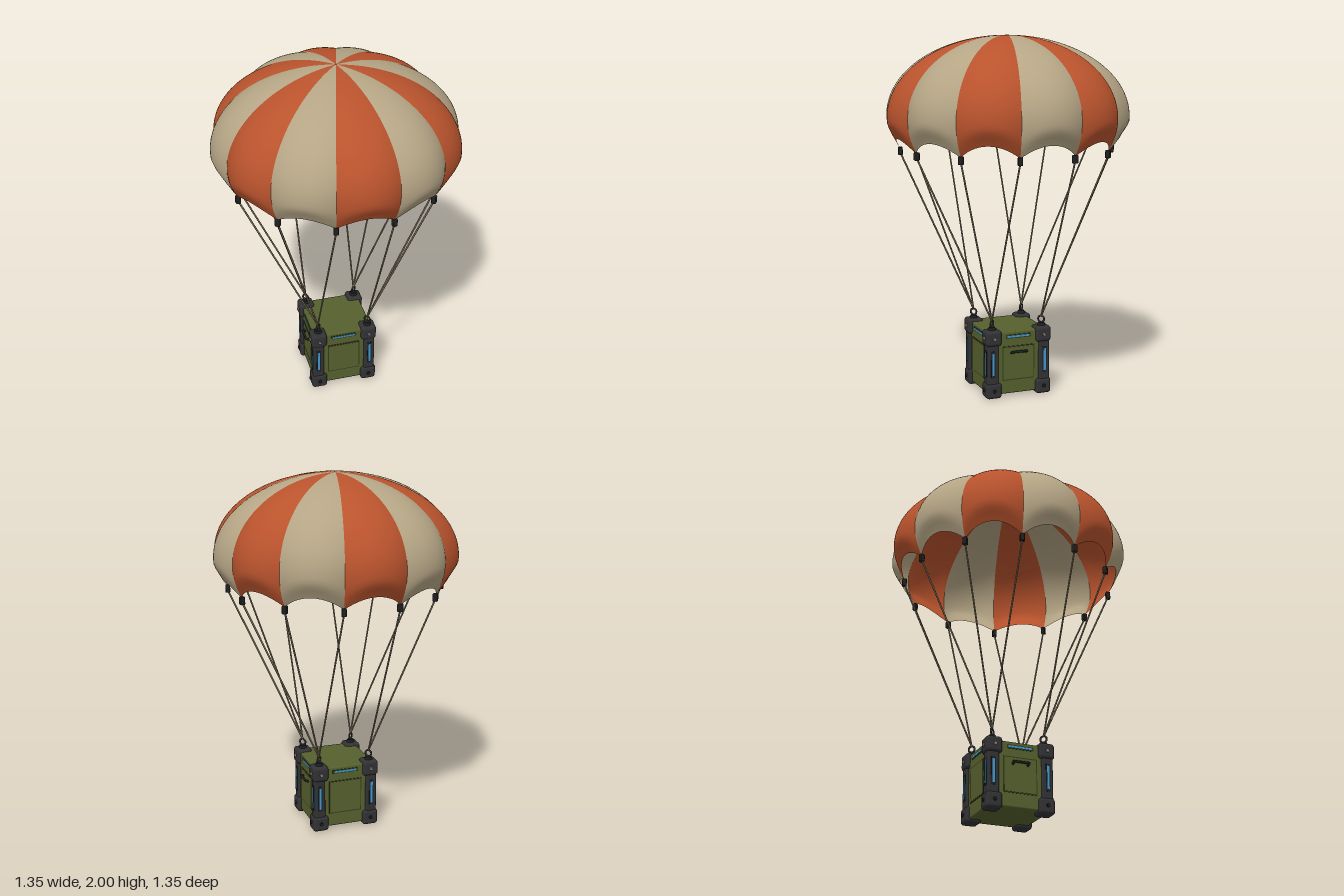
import * as THREE from 'three';
import { RoundedBoxGeometry } from 'three/addons/geometries/RoundedBoxGeometry.js';

const paint = (name, color, side = THREE.FrontSide) => {
  const m = new THREE.MeshStandardMaterial({ color, side });
  m.name = name;
  return m;
};

const GORES = 12, STEP = (Math.PI * 2) / GORES;

// Point on the canopy: u runs -1..1 across a gore, t runs 0..1 from crown to hem
function canopyPoint(angle, u, t) {
  const puff = 1 - u * u;
  const phi = THREE.MathUtils.degToRad(113.5 - 9 * puff) * Math.max(t, 0.002);
  const curl = 0.028 * puff * THREE.MathUtils.smoothstep(t, 0.88, 1);
  const r = (0.643 + 0.032 * puff) * Math.sin(phi) - curl;
  const a = angle + (u * STEP) / 2;
  return new THREE.Vector3(Math.sin(a) * r, 1.56 + 0.44 * Math.cos(phi), Math.cos(a) * r);
}

function goreGeometry(angle, rows = 36, cols = 14) {
  const pos = [], index = [];
  for (let i = 0; i <= rows; i++)
    for (let j = 0; j <= cols; j++)
      pos.push(...canopyPoint(angle, (j / cols) * 2 - 1, i / rows).toArray());
  for (let i = 0; i < rows; i++)
    for (let j = 0; j < cols; j++) {
      const a = i * (cols + 1) + j, b = a + cols + 1;
      index.push(a, b, a + 1, a + 1, b, b + 1);
    }
  const g = new THREE.BufferGeometry();
  g.setAttribute('position', new THREE.Float32BufferAttribute(pos, 3));
  g.setIndex(index);
  g.computeVertexNormals();
  return g;
}

export function createModel() {
  const orange = paint('orange fabric', 0xb9532d, THREE.DoubleSide);
  const tan = paint('tan fabric', 0xb5a585, THREE.DoubleSide);
  const cord = paint('cord', 0x7d725c);
  const green = paint('olive green', 0x56602e);
  const groove = paint('dark olive', 0x343b1c);
  const dark = paint('dark metal', 0x323235);
  const black = paint('black', 0x1f1f21);
  const blue = paint('blue light', 0x3f9bd0);
  const steel = paint('steel', 0x85827a);

  const model = new THREE.Group();
  model.name = 'supplyDrop';

  const add = (parent, name, geometry, material, x = 0, y = 0, z = 0) => {
    const mesh = new THREE.Mesh(geometry, material);
    mesh.name = name;
    mesh.position.set(x, y, z);
    parent.add(mesh);
    return mesh;
  };
  const box = (w, h, d) => new THREE.BoxGeometry(w, h, d);
  const rod = (parent, name, a, b, radius, material) => {
    const mesh = add(parent, name, new THREE.CylinderGeometry(radius, radius, a.distanceTo(b), 8), material);
    mesh.position.copy(a).lerp(b, 0.5);
    mesh.quaternion.setFromUnitVectors(new THREE.Vector3(0, 1, 0), b.clone().sub(a).normalize());
    return mesh;
  };

  // Canopy of alternating gores, with a clip and a cord at every seam
  const canopy = new THREE.Group();
  canopy.name = 'canopy';
  const rigging = new THREE.Group();
  rigging.name = 'rigging';
  model.add(canopy, rigging);
  for (let i = 0; i < GORES; i++) {
    add(canopy, 'gore', goreGeometry(i * STEP), i % 2 ? tan : orange);
    const tip = canopyPoint(i * STEP, 1, 1);
    const clip = add(rigging, 'clip', new RoundedBoxGeometry(0.026, 0.044, 0.026, 2, 0.005), black, tip.x, 1.37, tip.z);
    clip.rotation.y = (i + 0.5) * STEP;
    const ring = new THREE.Vector3(Math.sign(tip.x) * 0.148, 0.44, Math.sign(tip.z) * 0.148);
    rod(rigging, 'cord', new THREE.Vector3(tip.x, 1.36, tip.z), ring, 0.005, cord);
  }

  // Crate body
  const crate = new THREE.Group();
  crate.name = 'crate';
  model.add(crate);
  add(crate, 'body', new RoundedBoxGeometry(0.345, 0.355, 0.345, 2, 0.008), green, 0, 0.1975, 0);

  // Four sides: framed panel, light strips, and a handle on the left and right
  for (let k = 0; k < 4; k++) {
    const side = new THREE.Group();
    side.name = 'side';
    side.rotation.y = (k * Math.PI) / 2;
    crate.add(side);
    add(side, 'panelGroove', box(0.192, 0.196, 0.004), groove, 0, 0.195, 0.173);
    add(side, 'panel', box(0.18, 0.184, 0.006), green, 0, 0.195, 0.1735);
    add(side, 'lightFrame', box(0.15, 0.022, 0.004), groove, 0, 0.347, 0.173);
    add(side, 'topLight', box(0.132, 0.01, 0.006), blue, 0, 0.347, 0.174);
    for (const s of [-1, 1]) {
      add(side, 'lightFrame', box(0.026, 0.15, 0.006), black, s * 0.154, 0.2, 0.184);
      add(side, 'postLight', box(0.013, 0.128, 0.008), blue, s * 0.154, 0.2, 0.185);
      for (const y of [0.048, 0.345]) {
        const bolt = add(side, 'bolt', new THREE.CylinderGeometry(0.009, 0.011, 0.012, 12),
          y > 0.2 ? steel : black, s * 0.148, y, 0.195);
        bolt.rotation.x = Math.PI / 2;
      }
    }
    if (k % 2) {
      const P = (x, y, z) => new THREE.Vector3(x, y, z);
      const bend = [P(-0.042, 0.252, 0.172), P(-0.042, 0.262, 0.194), P(0.042, 0.262, 0.194), P(0.042, 0.252, 0.172)];
      for (let j = 0; j < 3; j++) rod(side, 'handle', bend[j], bend[j + 1], 0.007, black);
      for (const j of [1, 2])
        add(side, 'handleElbow', new THREE.SphereGeometry(0.007, 8, 6), black, bend[j].x, bend[j].y, bend[j].z);
    }
  }

  // Four corners: post, corner blocks, lifting ring on a stub
  for (const sx of [-1, 1])
    for (const sz of [-1, 1]) {
      const x = sx * 0.148, z = sz * 0.148;
      add(crate, 'cornerPost', new RoundedBoxGeometry(0.064, 0.25, 0.064, 2, 0.01), dark, sx * 0.153, 0.197, sz * 0.153);
      for (const y of [0.046, 0.346])
        add(crate, 'cornerBlock', new RoundedBoxGeometry(0.09, 0.088, 0.09, 3, 0.018), dark, x, y, z);
      add(crate, 'ringBase', new THREE.CylinderGeometry(0.018, 0.024, 0.018, 12), black, x, 0.396, z);
      const ring = add(crate, 'liftingRing', new THREE.TorusGeometry(0.018, 0.0055, 8, 20), dark, x, 0.424, z);
      ring.rotation.y = (-sx * sz * Math.PI) / 4;
    }

  return model;
}
